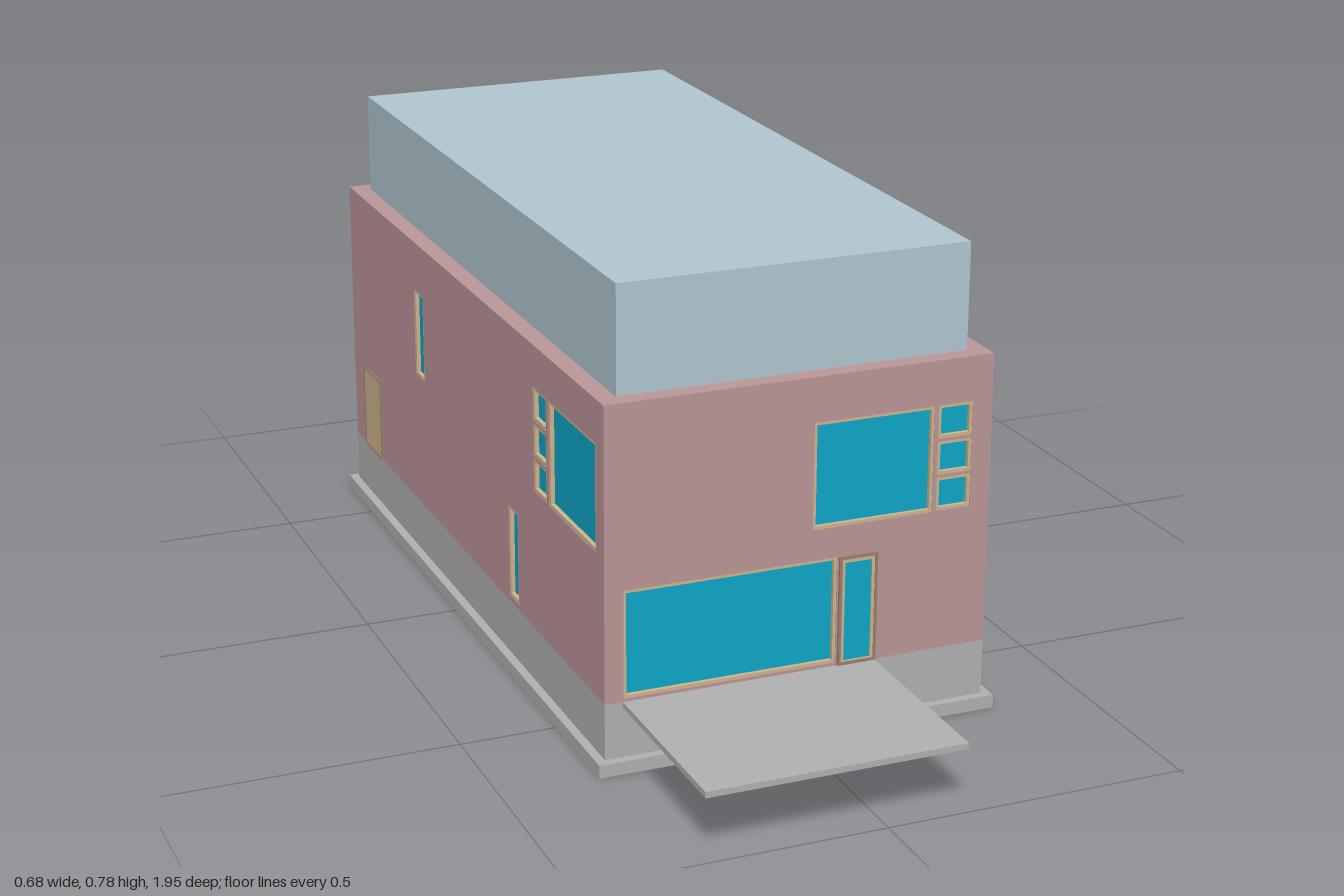
import * as THREE from 'three';

const mat = (color) => new THREE.MeshStandardMaterial({ color });
const brick = mat(0xbd9799), concrete = mat(0xb2b2b2), slabGrey = mat(0x606262);
const roofBlue = mat(0xb2c8d2), glass = mat(0x0ea8c9), tan = mat(0xd0b68e), trim = mat(0x9c7f70);

const HX = 0.325, HZ = 0.655;   // half width and half length of the house
const FLOOR = 0.115, TOP = 0.6, WALL = 0.03;

function add(parent, name, geometry, material) {
  const mesh = new THREE.Mesh(geometry, material);
  mesh.name = name;
  parent.add(mesh);
  return mesh;
}

// Box given by its lower and upper limits
function box(parent, name, material, x0, x1, y0, y1, z0, z1) {
  const mesh = add(parent, name, new THREE.BoxGeometry(x1 - x0, y1 - y0, z1 - z0), material);
  mesh.position.set((x0 + x1) / 2, (y0 + y1) / 2, (z0 + z1) / 2);
  return mesh;
}

const points = (list) => list.map(([x, y]) => new THREE.Vector2(x, y));
const rect = (x0, x1, y0, y1) => points([[x0, y0], [x1, y0], [x1, y1], [x0, y1]]);

function extrude(outline, holes, depth) {
  const shape = new THREE.Shape(outline);
  holes.forEach((h) => shape.holes.push(new THREE.Path(h)));
  return new THREE.ExtrudeGeometry(shape, { depth, bevelEnabled: false });
}

// Rectangular frame of border b, from depth z0 to z1
function frame(parent, name, material, [x0, x1, y0, y1], b, z0, z1) {
  const geometry = extrude(rect(x0, x1, y0, y1), [rect(x0 + b, x1 - b, y0 + b, y1 - b)], z1 - z0);
  add(parent, name, geometry.translate(0, 0, z0), material);
}

// Wall panel with its outer face at local z = 0 and glazed openings
function wallPanel(name, half, windows) {
  const g = new THREE.Group();
  g.name = name;
  const holes = windows.map((w) => rect(...w));
  add(g, 'brickWall', extrude(rect(-half, half, FLOOR, TOP), holes, WALL).translate(0, 0, -WALL), brick);
  for (const w of windows) {
    frame(g, 'windowFrame', tan, w, 0.005, -0.02, -0.001);
    box(g, 'windowPane', glass, ...w, -0.016, -0.008);
  }
  return g;
}

// Three small panes stacked beside a large one
const stack = (x0, x1, y0) => [0, 1, 2].map((i) => [x0, x1, y0 + i * 0.06, y0 + i * 0.06 + 0.055]);

// Hollow strip plan: outer walls and a stepped cross wall between two chambers
function stripPlan(name, hx, hz, inset, w, y0, y1) {
  const ix = hx - inset, iz = hz - inset, c = 0.078;
  const front = [[-ix, c + w], [-ix, iz], [ix, iz], [ix, w - c], [w, w - c], [w, c + w]];
  const back = front.map(([x, z]) => [-x, -z]);
  const geometry = extrude(rect(-hx, hx, -hz, hz), [points(front), points(back)], y1 - y0);
  const mesh = new THREE.Mesh(geometry.rotateX(Math.PI / 2).translate(0, y1, 0), concrete);
  mesh.name = name;
  return mesh;
}

// One dwelling: front wall, one side wall, doors and terrace
function dwelling(name) {
  const g = new THREE.Group();
  g.name = name;

  const front = wallPanel('frontWall', HX, [
    [0.02, 0.225, 0.35, 0.526],
    ...stack(0.232, 0.291, 0.351),
    [-0.294, 0.063, 0.12, 0.299],
  ]);
  front.position.z = HZ;
  frame(front, 'frontDoorTrim', trim, [0.066, 0.132, FLOOR, 0.299], 0.005, -0.01, 0.004);
  frame(front, 'frontDoorFrame', tan, [0.07, 0.128, FLOOR + 0.001, 0.294], 0.006, -0.01, 0.003);
  box(front, 'frontDoorPane', glass, 0.075, 0.123, 0.12, 0.289, -0.01, 0.001);
  g.add(front);

  const side = wallPanel('sideWall', HZ - WALL, [
    [0.417, 0.622, 0.354, 0.53],
    ...stack(0.347, 0.407, 0.355),
    [-0.268, -0.218, 0.355, 0.513],
    [0.222, 0.268, 0.125, 0.285],
  ]);
  side.rotation.y = Math.PI / 2;
  side.position.x = HX;
  box(side, 'sideDoor', tan, -0.586, -0.489, FLOOR, 0.267, -0.01, 0.002);
  frame(side, 'sideDoorTrim', trim, [-0.588, -0.487, FLOOR, 0.269], 0.003, -0.01, 0.003);
  g.add(side);

  box(g, 'terrace', concrete, -0.295, 0.13, 0.105, FLOOR, HZ, 0.9775);
  return g;
}

export function createModel() {
  const house = new THREE.Group();
  house.name = 'house';

  // Footing, foundation walls and ground floor
  house.add(stripPlan('footing', 0.34, 0.67, 0.07, 0.035, 0, 0.022));
  house.add(stripPlan('foundation', HX, HZ, 0.04, 0.02, 0.022, FLOOR));
  box(house, 'groundFloor', slabGrey, -0.3, 0.3, 0.1, FLOOR - 0.001, -0.63, 0.63);

  // Two identical dwellings, turned half round from each other
  const frontHalf = dwelling('frontDwelling');
  const backHalf = dwelling('backDwelling');
  backHalf.rotation.y = Math.PI;
  house.add(frontHalf, backHalf);

  // Set-back roof storey
  box(house, 'roofStorey', roofBlue, -0.293, 0.293, TOP - 0.005, 0.776, -0.625, 0.625);
  const lid = box(house, 'roofDeck', brick, -0.3, 0.3, TOP - 0.02, TOP, -0.63, 0.63);
  lid.position.y -= 0.0005;

  house.position.z = 0.0225;
  const model = new THREE.Group();
  model.name = 'model';
  model.add(house);
  return model;
}
